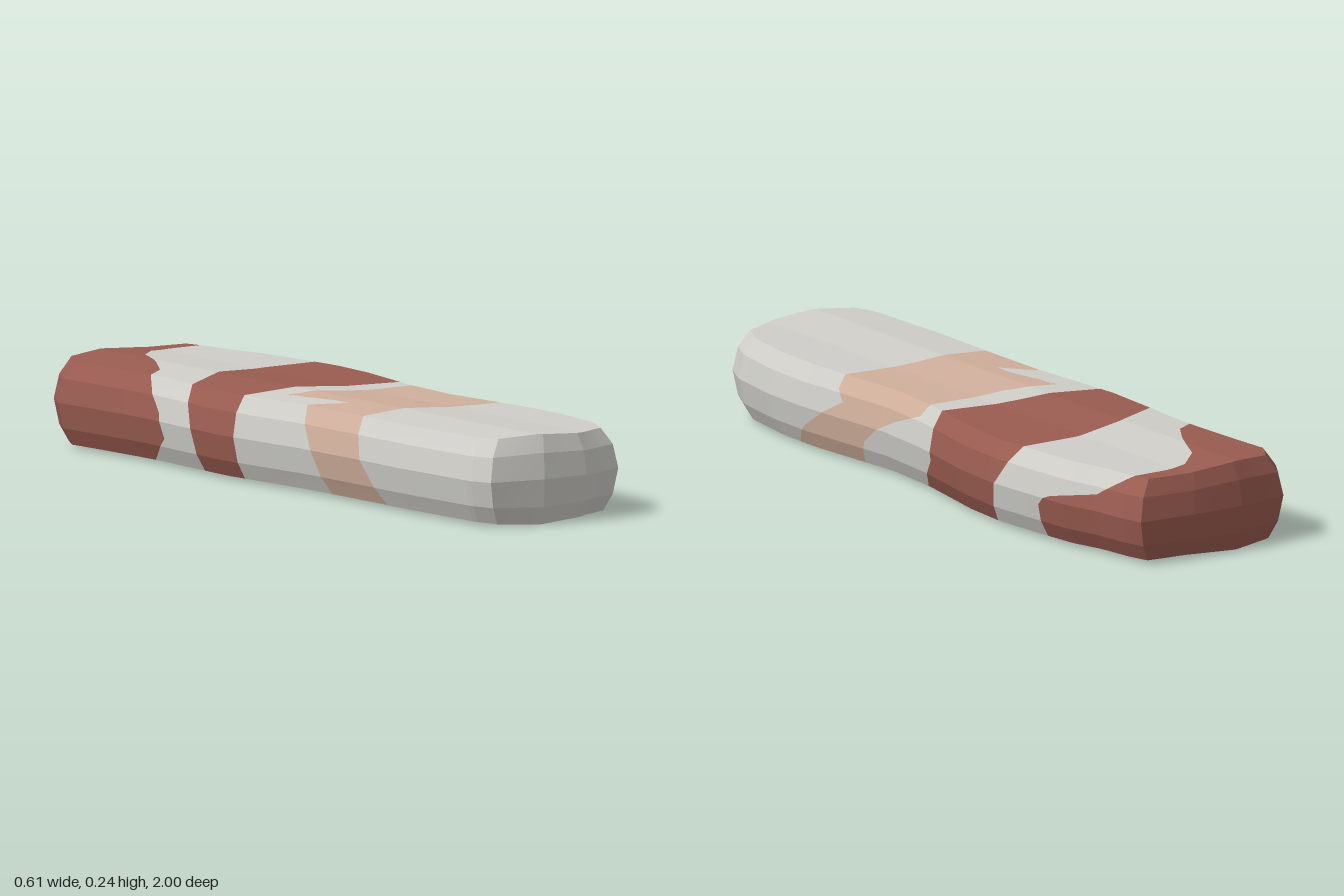
import * as THREE from 'three';

// Piecewise-linear lookup through [t, value] points
function poly(points, t) {
  if (t <= points[0][0]) return points[0][1];
  for (let i = 1; i < points.length; i++) {
    const [t1, v1] = points[i], [t0, v0] = points[i - 1];
    if (t <= t1) return v0 + (v1 - v0) * (t - t0) / (t1 - t0);
  }
  return points[points.length - 1][1];
}

// Plan outline: x of both long sides along z, z of both ends across the width
const LEFT = [[-.965, -.255], [-.89, -.3], [-.78, -.292], [-.6, -.284], [-.5, -.284], [-.37, -.295], [-.18, -.306],
  [-.05, -.297], [.15, -.28], [.4, -.28], [.6, -.285], [.9, -.275], [.965, -.25]];
const RIGHT = [[-.965, .222], [-.9, .24], [-.8, .252], [-.7, .28], [-.55, .295], [-.4, .306], [-.25, .295],
  [-.1, .268], [.0, .25], [.2, .235], [.4, .25], [.55, .26], [.7, .256], [.88, .23], [.965, .19]];
const FRONT = [[-1, .965], [-.3, 1], [.36, .998], [1, .95]];
const BACK = [[-1, .975], [-.35, 1], [.3, 1], [1, .985]];
// Rounded edge: height and inset per level
const HEIGHT = [[-1, .01], [-.6, .055], [0, .125], [.6, .19], [1, .235]];
const INSET = [[-1, .036], [-.6, .013], [0, 0], [.6, .013], [1, .042]];

// Colour borders: z as a function of s, which runs round the section
// (left side -2..-1, top -1..1, right side 1..2, underside 2..4)
const REAR = [[-2, -.53], [-1.7, -.45], [-1.4, -.47], [-1, -.56], [-.75, -.6], [-.5, -.69], [-.15, -.83], [.2, -.9],
  [.5, -.915], [1, -.915], [1.1, -.88], [1.3, -.81], [1.38, -.72], [1.47, -.63], [1.6, -.6], [2, -.6],
  [2.35, -.69], [3.05, -.69], [3.35, -.64], [4, -.53]];
const BAND_BACK = [[-2, -.29], [-1.5, -.31], [-1, -.36], [-.4, -.45], [.3, -.49], [1, -.49], [1.5, -.42], [2, -.39],
  [2.9, -.26], [3.4, -.27], [4, -.29]];
const BAND_FRONT = [[-2, -.11], [-1, -.12], [0, -.1], [1, -.06], [1.6, -.06], [1.8, -.02], [2, .01], [3, -.06], [4, -.11]];
const TAN_BACK = [[-2, .25], [-1.5, .2], [-1, .13], [-.9, .15], [-.76, .2], [-.67, .2], [-.61, -.03], [-.3, -.02],
  [0, 0], [1, .01], [1.15, .03], [1.33, .14], [1.5, .22], [1.7, .28], [2, .31], [2.45, .42], [2.7, .34], [3, .32], [4, .25]];
const TAN_FRONT = [[-2, .5], [-1.5, .42], [-1, .38], [0, .38], [1, .4], [1.15, .4], [1.3, .37], [1.45, .43], [1.75, .54],
  [2, .59], [2.5, .55], [3.2, .6], [3.7, .6], [4, .5]];

// Positive inside each coloured patch
const redField = ({ s, z }) => Math.max(poly(REAR, s) - z, Math.min(z - poly(BAND_BACK, s), poly(BAND_FRONT, s) - z));
const tanField = ({ s, z }) => {
  const lean = 1.2 * (z - .07) * Math.max(0, 1 - Math.abs(s + .65) / .5); // slants the small hook
  return Math.min(z - poly(TAN_BACK, s - lean), poly(TAN_FRONT, s) - z);
};

// Cuts a convex polygon along field = 0 into [inside, outside]
function cut(polygon, field) {
  const inside = [], outside = [];
  polygon.forEach((p, i) => {
    const q = polygon[(i + 1) % polygon.length], fp = field(p), fq = field(q);
    (fp >= 0 ? inside : outside).push(p);
    if ((fp >= 0) !== (fq >= 0)) {
      const t = fp / (fp - fq), m = {};
      for (const k of ['x', 'y', 'z', 's']) m[k] = p[k] + (q[k] - p[k]) * t;
      inside.push(m);
      outside.push(m);
    }
  });
  return [inside, outside];
}

// Moves a point of the unit block (a, b, c in -1..1) onto the body
function shape(a, b, c, face) {
  const inset = poly(INSET, b), zs = c * .965;
  const x0 = poly(LEFT, zs) + inset, x1 = poly(RIGHT, zs) - inset;
  const x = x0 + (x1 - x0) * (a + 1) / 2;
  const z = c * (poly(c > 0 ? FRONT : BACK, a) - inset * .55);
  const y = poly(HEIGHT, b) + .01 * b * Math.max(0, 1 - Math.abs(x + .1) / .16);
  const s = [1 + (1 - b) / 2, -1 - (1 - b) / 2, a, 3 - a, 0, 0][face];
  return { x, y, z, s };
}

export function createModel() {
  const group = new THREE.Group();
  group.name = 'mottledBar';
  const parts = { paleBody: [], redPatches: [], tanPatch: [] };
  const add = (list, polygon) => {
    for (let i = 2; i < polygon.length; i++) {
      for (const p of [polygon[0], polygon[i - 1], polygon[i]]) list.push(p.x, p.y, p.z);
    }
  };

  // Shape a finely divided block and cut its skin along the colour borders
  const block = new THREE.BoxGeometry(2, 2, 2, 40, 20, 100);
  const pos = block.attributes.position, index = block.index;
  for (const { start, count, materialIndex: face } of block.groups) {
    for (let i = start; i < start + count; i += 3) {
      const tri = [0, 1, 2].map((k) => {
        const v = index.getX(i + k);
        return shape(pos.getX(v), pos.getY(v), pos.getZ(v), face);
      });
      if (face === 4) add(parts.paleBody, tri);        // front end
      else if (face === 5) add(parts.redPatches, tri); // rear end
      else {
        const [red, rest] = cut(tri, redField);
        const [tan, pale] = cut(rest, tanField);
        add(parts.redPatches, red);
        add(parts.tanPatch, tan);
        add(parts.paleBody, pale);
      }
    }
  }

  const colours = {
    paleBody: ['pale grey', 0xcfcec9], redPatches: ['brick red', 0x9a5c51], tanPatch: ['light tan', 0xd0af9c],
  };
  for (const [name, list] of Object.entries(parts)) {
    const geometry = new THREE.BufferGeometry();
    geometry.setAttribute('position', new THREE.Float32BufferAttribute(list, 3));
    geometry.computeVertexNormals();
    const material = new THREE.MeshStandardMaterial({ color: colours[name][1] });
    material.name = colours[name][0];
    const mesh = new THREE.Mesh(geometry, material);
    mesh.name = name;
    group.add(mesh);
  }
  return group;
}
